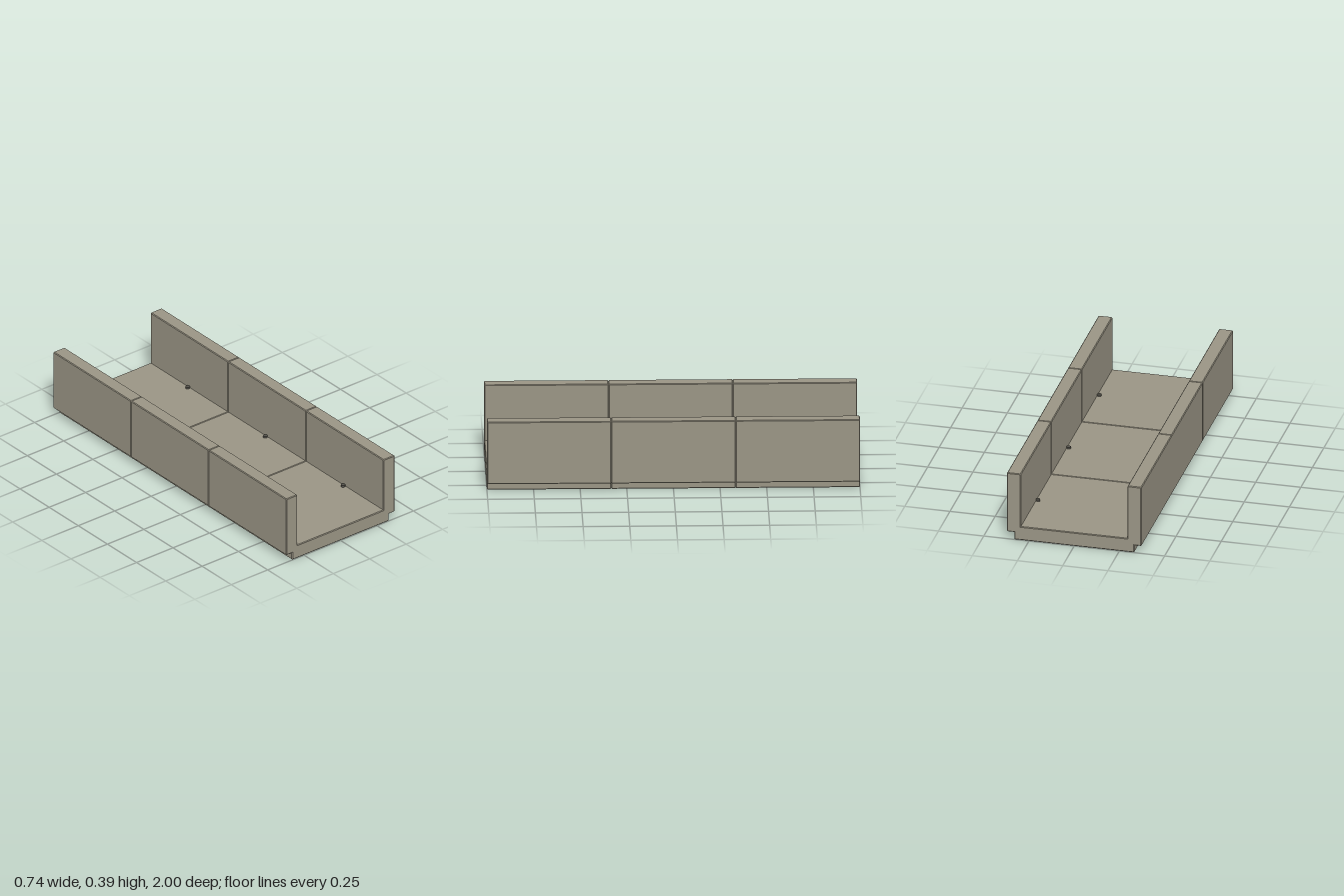
import * as THREE from 'three';

const LENGTH = 2 / 3;   // one channel segment
const EDGE = 0.004;     // small chamfer on all outer edges

// U-shaped cross-section with stepped underside; chamfered where convex
function channelProfile() {
  const half = [ // [x, y, chamfered]
    [0.332, 0, true], [0.332, 0.043, false], [0.372, 0.043, true],
    [0.372, 0.392, true], [0.295, 0.392, true], [0.295, 0.08, false],
  ];
  const corners = [...half, ...half.map(([x, y, c]) => [-x, y, c]).reverse()];
  const points = [];
  corners.forEach(([x, y, chamfered], i) => {
    const p = new THREE.Vector2(x, y);
    if (!chamfered) return points.push(p);
    for (const step of [-1, 1]) {
      const [nx, ny] = corners[(i + step + corners.length) % corners.length];
      const dir = new THREE.Vector2(nx, ny).sub(p).normalize();
      points.push(p.clone().addScaledVector(dir, EDGE));
    }
  });
  return new THREE.Shape(points);
}

export function createModel() {
  const model = new THREE.Group();
  model.name = 'channel';
  const concrete = new THREE.MeshStandardMaterial({ color: 0x9a9585 });
  const metal = new THREE.MeshStandardMaterial({ color: 0x55534c });

  const segmentGeometry = new THREE.ExtrudeGeometry(channelProfile(), {
    depth: LENGTH - 2 * EDGE, bevelEnabled: true, bevelSegments: 1,
    bevelSize: EDGE, bevelThickness: EDGE, bevelOffset: -EDGE,
  });
  segmentGeometry.translate(0, 0, -LENGTH / 2 + EDGE);
  const boltGeometry = new THREE.CylinderGeometry(0.012, 0.012, 0.012, 12);

  // Three segments in a row, each with a bolt at the foot of both walls
  for (const i of [-1, 0, 1]) {
    const segment = new THREE.Group();
    segment.name = 'segment';
    segment.position.z = i * LENGTH;

    const body = new THREE.Mesh(segmentGeometry, concrete);
    body.name = 'channelBody';
    segment.add(body);

    for (const side of [-1, 1]) {
      const bolt = new THREE.Mesh(boltGeometry, metal);
      bolt.name = side > 0 ? 'leftBolt' : 'rightBolt';
      bolt.position.set(side * 0.284, 0.084, 0);
      segment.add(bolt);
    }
    model.add(segment);
  }
  return model;
}
